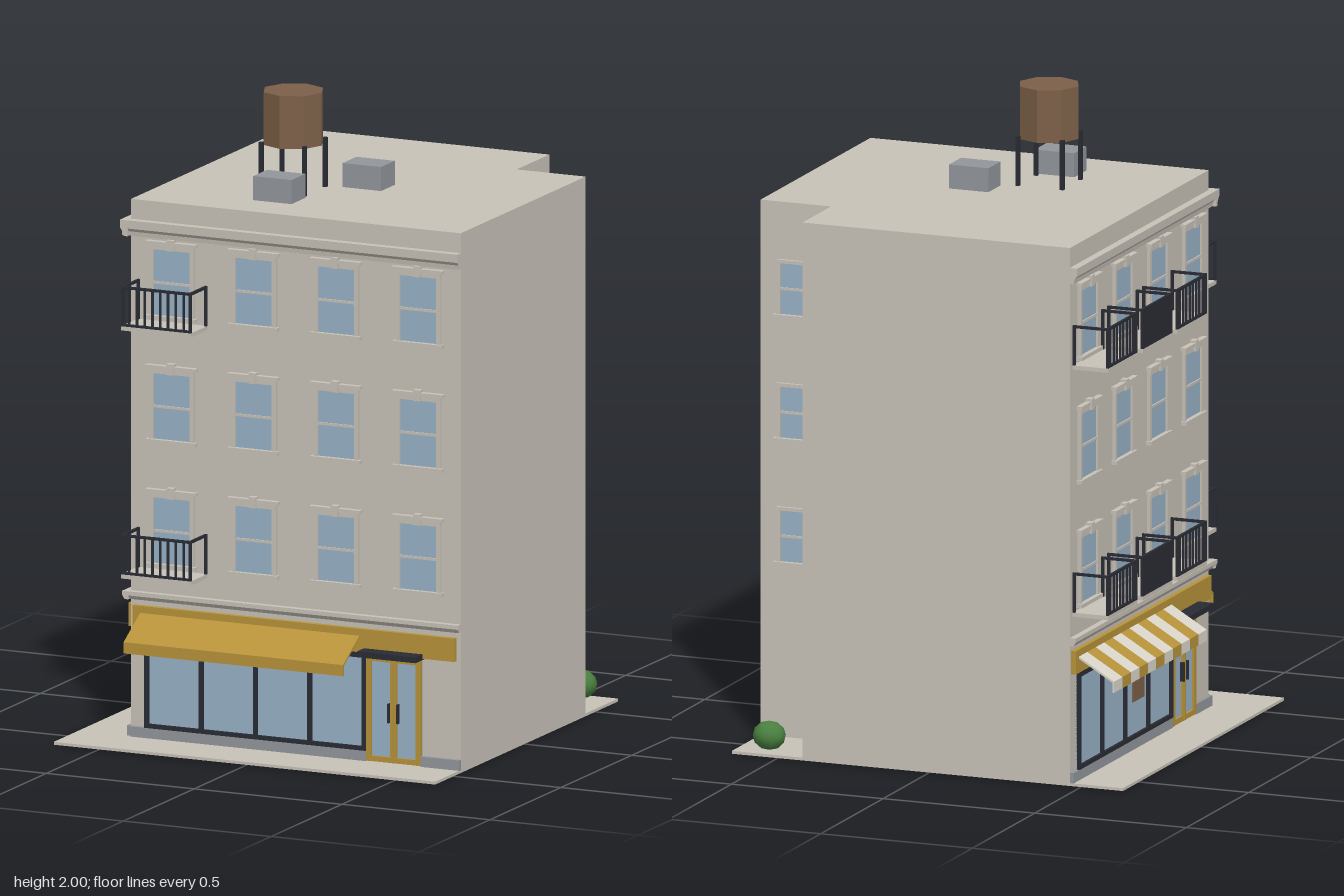
import * as THREE from 'three';

const mat = (name, color) => {
  const m = new THREE.MeshStandardMaterial({ color });
  m.name = name;
  return m;
};
const STONE = mat('stone', 0xc8c2b8);
const GLASS = mat('glass', 0x98b2c6);
const GOLD = mat('gold paint', 0xb8933a);
const DARK = mat('dark iron', 0x2a2c34);
const GREY = mat('grey metal', 0x92979c);
const WOOD = mat('brown wood', 0x7c6048);
const LEAF = mat('leaf green', 0x4a8040);
const CREAM = mat('cream cloth', 0xdcd7cc);

function add(parent, name, geo, material) {
  const m = new THREE.Mesh(geo, material);
  m.name = name;
  parent.add(m);
  return m;
}
// Box given by its limits on each axis
function box(parent, name, material, x0, x1, y0, y1, z0, z1) {
  const m = add(parent, name, new THREE.BoxGeometry(x1 - x0, y1 - y0, z1 - z0), material);
  m.position.set((x0 + x1) / 2, (y0 + y1) / 2, (z0 + z1) / 2);
  return m;
}
function group(parent, name) {
  const g = new THREE.Group();
  g.name = name;
  parent.add(g);
  return g;
}
// Profile of [outward, up] points swept along a facade from u0 to u1
function sweep(parent, name, material, pts, u0, u1) {
  const shape = new THREE.Shape(pts.map(p => new THREE.Vector2(...p)));
  const geo = new THREE.ExtrudeGeometry(shape, { depth: u1 - u0, bevelEnabled: false });
  geo.rotateY(-Math.PI / 2).translate(u1, 0, 0);
  return add(parent, name, geo, material);
}

// Sash window: origin at the bottom centre of the glass, facing +z
function sashWindow(parent, w, h, hood) {
  const g = group(parent, 'window');
  const r = w / 2;
  box(g, 'windowGlass', GLASS, -r, r, 0, h, 0, 0.003);
  for (const s of [-1, 1]) {
    const j = box(g, 'windowJamb', STONE, -0.007, 0.007, 0, h, 0, 0.01);
    j.position.x = s * (r + 0.001);
  }
  box(g, 'meetingRail', STONE, -r, r, h * 0.47, h * 0.47 + 0.008, 0, 0.007);
  box(g, 'windowSill', STONE, -r - 0.016, r + 0.016, -0.01, 0.002, 0, 0.018);
  if (hood) {
    box(g, 'windowHead', STONE, -r - 0.008, r + 0.008, h - 0.004, h + 0.014, 0, 0.012);
    box(g, 'windowHood', STONE, -r - 0.018, r + 0.018, h + 0.012, h + 0.022, 0, 0.018);
    box(g, 'keystone', STONE, -0.012, 0.012, h - 0.004, h + 0.03, 0, 0.02);
  } else {
    box(g, 'windowHead', STONE, -r - 0.007, r + 0.007, h - 0.004, h + 0.007, 0, 0.01);
  }
  return g;
}

// Balcony: origin at the wall, bottom centre of the slab
function balcony(parent, solid) {
  const g = group(parent, 'balcony');
  const r = 0.118, d = 0.118, top = 0.138, t = 0.008;
  box(g, 'balconySlab', STONE, -r, r, 0, 0.013, 0, d);
  box(g, 'frontRail', DARK, -r, r, top - t, top, d - t, d);
  box(g, 'lowerRail', DARK, -r, r, 0.013, 0.02, d - t, d);
  for (const s of [-1, 1]) {
    const x = s * (r - t / 2);
    box(g, 'sideRail', DARK, x - t / 2, x + t / 2, top - t, top, 0, d);
    for (const z of [0, d - t])
      box(g, 'railPost', DARK, x - t / 2, x + t / 2, 0.013, top, z, z + t);
  }
  if (solid) box(g, 'railPanel', DARK, -r, r, 0.013, top, d - 0.006, d - 0.001);
  else for (let i = 1; i < 9; i++) {
    const x = -r + (2 * r * i) / 9;
    box(g, 'baluster', DARK, x - 0.003, x + 0.003, 0.013, top, d - 0.007, d - 0.001);
  }
  return g;
}

// Shopfront with windows, double door, sign band and awning
function shopfront(f, stripes) {
  const g = group(f, 'shopfront');
  const W0 = -0.5075, W1 = 0.2425, D1 = 0.4275;
  box(g, 'plinth', GREY, -0.555, W1, 0.012, 0.045, 0, 0.012);
  box(g, 'plinth', GREY, D1, 0.5575, 0.012, 0.045, 0, 0.012);
  // Shop window
  box(g, 'shopGlass', GLASS, W0, W1, 0.045, 0.35, 0, 0.004);
  for (let i = 0; i <= 4; i++) {
    const x = W0 + 0.007 + ((W1 - W0 - 0.014) * i) / 4;
    box(g, 'shopMullion', DARK, x - 0.007, x + 0.007, 0.045, 0.35, 0, 0.013);
  }
  box(g, 'shopFrameBottom', DARK, W0, W1, 0.045, 0.058, 0, 0.013);
  box(g, 'shopFrameTop', DARK, W0, W1, 0.335, 0.35, 0, 0.013);
  // Double door
  box(g, 'doorGlass', GLASS, W1, D1, 0.015, 0.345, 0, 0.004);
  const mid = (W1 + D1) / 2;
  for (const [a, b] of [[W1, W1 + 0.017], [mid - 0.011, mid - 0.001], [mid + 0.001, mid + 0.011], [D1 - 0.017, D1]])
    box(g, 'doorStile', GOLD, a, b, 0.015, 0.345, 0, 0.012);
  box(g, 'doorBottomRail', GOLD, W1, D1, 0.015, 0.032, 0, 0.011);
  box(g, 'doorTopRail', GOLD, W1, D1, 0.328, 0.345, 0, 0.011);
  for (const s of [-1, 1])
    box(g, 'doorHandle', DARK, mid + s * 0.015 - 0.003, mid + s * 0.015 + 0.003, 0.14, 0.2, 0.004, 0.018);
  box(g, 'doorCanopy', DARK, W1 - 0.005, D1 + 0.008, 0.348, 0.366, 0, 0.065);
  box(g, 'doorSlab', STONE, 0.2125, 0.4525, 0, 0.005, 0.02, 0.135);
  // Sign band
  box(g, 'signBand', GOLD, -0.545, 0.543, 0.352, 0.425, 0, 0.015);
  // Awning, plain or striped
  const profile = [[0.012, 0.398], [0.125, 0.331], [0.125, 0.3], [0.131, 0.3], [0.131, 0.335], [0.012, 0.405]];
  const n = stripes ? 11 : 1, a0 = -0.52, aw = 0.742;
  for (let i = 0; i < n; i++)
    sweep(g, 'awning', stripes && i % 2 === 0 ? CREAM : GOLD, profile, a0 + (aw * i) / n, a0 + (aw * (i + 1)) / n);
  if (stripes) box(g, 'hangingBoard', WOOD, -0.07, 0.02, 0.16, 0.26, 0.004, 0.009);
}

// Street facade; side is the end that turns the corner
function facade(parent, name, side, balconies, stripes) {
  const f = group(parent, name);
  const L = 0.5575;
  const ends = k => (side < 0 ? [-L - k, L] : [-L, L + k]);
  sweep(f, 'cornice', STONE,
    [[0, 1.578], [0.013, 1.578], [0.015, 1.592], [0.024, 1.602], [0.025, 1.628], [0, 1.628]], ...ends(0.024));
  sweep(f, 'stringCourse', STONE,
    [[0, 0.443], [0.012, 0.443], [0.02, 0.455], [0.02, 0.468], [0, 0.468]], ...ends(0.019));
  for (const y of [0.56, 0.948, 1.335])
    for (let i = 0; i < 4; i++)
      sashWindow(f, 0.136, 0.212, true).position.set(-0.417 + 0.278 * i, y, 0);
  for (const y of [0.53, 1.305])
    for (let i = 0; i < balconies; i++)
      balcony(f, i === 1).position.set(-0.417 + 0.278 * i, y, 0);
  shopfront(f, stripes);
  return f;
}

export function createModel() {
  const model = new THREE.Group();
  model.name = 'cornerBuilding';

  // Pavement and main block with a notch at the back
  box(model, 'pavement', STONE, -0.645, 0.645, 0.004, 0.013, -0.645, 0.645);
  const plan = new THREE.Shape([[-0.47, -0.465], [0.645, -0.465], [0.645, 0.415], [0.412, 0.415], [0.412, 0.645], [-0.47, 0.645]]
    .map(p => new THREE.Vector2(...p)));
  const walls = new THREE.ExtrudeGeometry(plan, { depth: 1.678, bevelEnabled: false });
  walls.rotateX(-Math.PI / 2).translate(0, 0.012, 0);
  add(model, 'walls', walls, STONE);

  // Two street facades
  facade(model, 'frontFacade', -1, 1, false).position.set(0.0875, 0, 0.465);
  const sideFacade = facade(model, 'sideFacade', 1, 3, true);
  sideFacade.position.set(-0.47, 0, -0.09);
  sideFacade.rotation.y = -Math.PI / 2;

  // Windows in the notch
  for (const y of [0.562, 0.95, 1.337]) {
    const a = sashWindow(model, 0.1, 0.166, false);
    a.position.set(0.412, y, -0.532);
    a.rotation.y = Math.PI / 2;
    const b = sashWindow(model, 0.1, 0.166, false);
    b.position.set(0.532, y, -0.415);
    b.rotation.y = Math.PI;
  }

  // Water tank on four legs
  const tank = group(model, 'waterTank');
  tank.position.set(-0.083, 0, 0.128);
  const barrel = new THREE.CylinderGeometry(0.096, 0.096, 0.165, 8).toNonIndexed();
  barrel.computeVertexNormals();
  add(tank, 'tankBarrel', barrel, WOOD).position.y = 1.9175;
  for (const x of [-0.073, 0.073])
    for (const z of [-0.073, 0.073])
      box(tank, 'tankLeg', DARK, x - 0.006, x + 0.006, 1.69, 1.845, z - 0.006, z + 0.006);

  // Roof units
  box(model, 'roofUnit', GREY, 0.04, 0.17, 1.69, 1.765, -0.06, 0.037);
  box(model, 'roofUnit', GREY, -0.127, 0.003, 1.69, 1.765, 0.222, 0.32);

  // Bush in the back yard
  const bush = add(model, 'bush', new THREE.IcosahedronGeometry(0.052, 1), LEAF);
  bush.scale.set(1, 0.88, 0.92);
  bush.position.set(0.543, 0.06, -0.593);

  return model;
}
